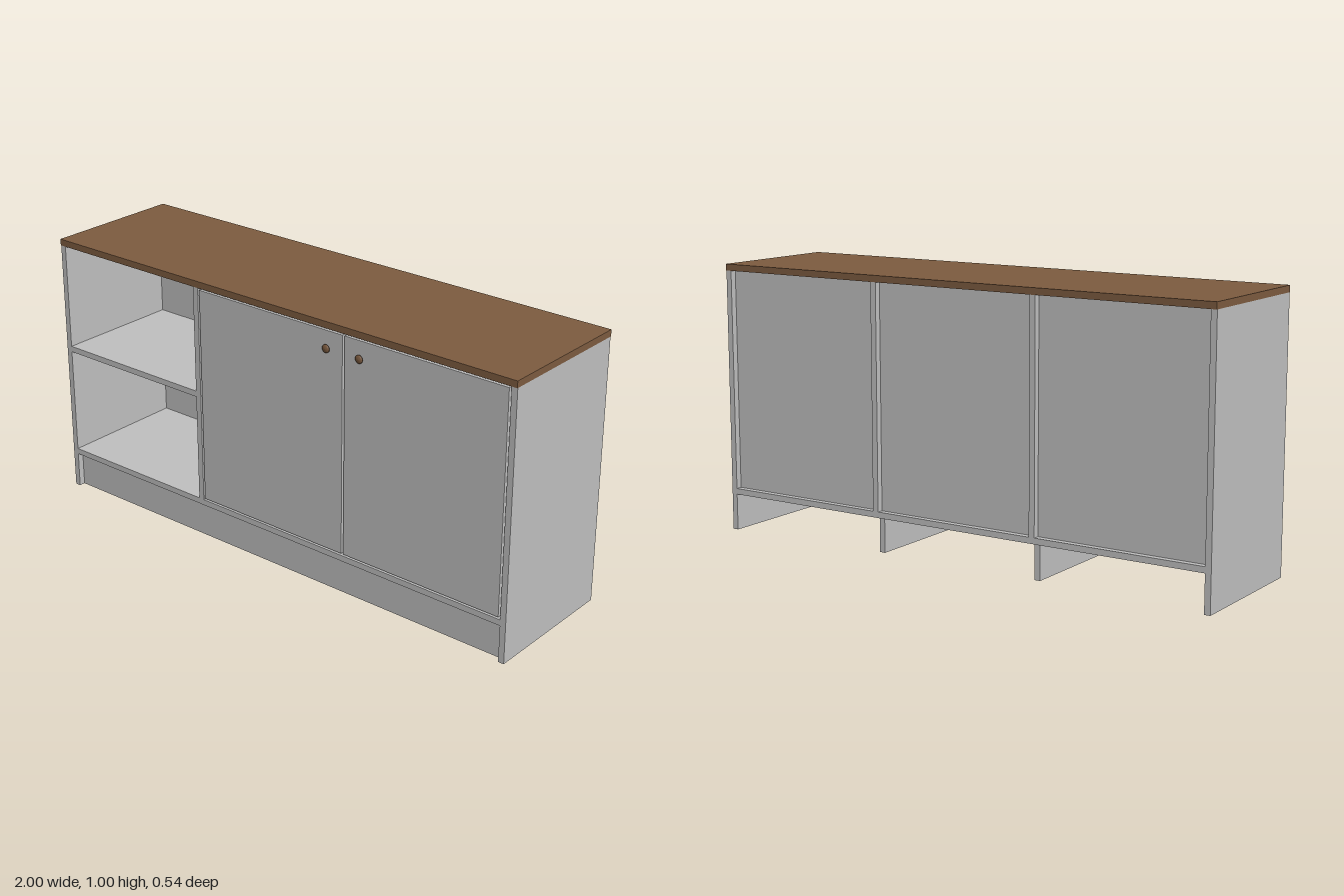
import * as THREE from 'three';

export function createModel() {
  const group = new THREE.Group();
  const panel = new THREE.MeshStandardMaterial({ color: 0xc0c0c0 });
  panel.name = 'grey panel';
  const wood = new THREE.MeshStandardMaterial({ color: 0x7d5c40 });
  wood.name = 'brown wood';

  // Board given by its minimum and maximum along each axis
  function board(name, [x0, x1], [y0, y1], [z0, z1], material = panel) {
    const mesh = new THREE.Mesh(new THREE.BoxGeometry(x1 - x0, y1 - y0, z1 - z0), material);
    mesh.position.set((x0 + x1) / 2, (y0 + y1) / 2, (z0 + z1) / 2);
    mesh.name = name;
    group.add(mesh);
  }

  const T = 0.022, back = -0.268, front = 0.26, doorBack = 0.238;
  const inner = 1 - T, underTop = 0.976, floor = 0.158, floorBottom = floor - T;

  // Worktop, sides and cabinet floor
  board('worktop', [-1, 1], [underTop, 1], [-0.271, 0.262], wood);
  board('rightSide', [-1, -inner], [0, underTop], [back, front]);
  board('leftSide', [inner, 1], [0, underTop], [back, front]);
  board('cabinetFloor', [-inner, inner], [floorBottom, floor], [back, front]);

  // Recessed plinth and the supports behind it
  board('plinth', [-inner, inner], [0, floorBottom], [0.215, 0.237]);
  const dividers = [-0.329, 0.326];
  dividers.forEach((x, i) => {
    const span = [x - T / 2, x + T / 2];
    board('floorSupport', span, [0, floorBottom], [-0.23, 0.215]);
    board('divider', span, [floor, underTop], [back, i === 0 ? front : doorBack - 0.002]);
  });

  // Shelf and recessed back panel in each bay
  const bays = [
    [-inner, dividers[0] - T / 2],
    [dividers[0] + T / 2, dividers[1] - T / 2],
    [dividers[1] + T / 2, inner],
  ];
  bays.forEach((bay, i) => {
    board('backPanel', bay, [floor, underTop], [-0.245, -0.225]);
    board('shelf', bay, [0.56, 0.582], [-0.225, i === 0 ? front : doorBack - 0.002]);
  });

  // Inset doors with narrow gaps around them
  board('rightDoor', [-0.311, 0.322], [0.165, 0.969], [doorBack, front]);
  board('leftDoor', [0.331, 0.97], [0.165, 0.969], [doorBack, front]);

  // Turned knobs: slim stem and domed head
  const profile = [[0, 0], [0.007, 0], [0.006, 0.004], [0.015, 0.005], [0.015, 0.008], [0.009, 0.011], [0, 0.012]]
    .map(([r, h]) => new THREE.Vector2(r, h));
  const knobGeometry = new THREE.LatheGeometry(profile, 16);
  for (const x of [0.258, 0.396]) {
    const knob = new THREE.Mesh(knobGeometry, wood);
    knob.rotation.x = Math.PI / 2;
    knob.position.set(x, 0.907, front);
    knob.name = 'doorKnob';
    group.add(knob);
  }

  return group;
}
